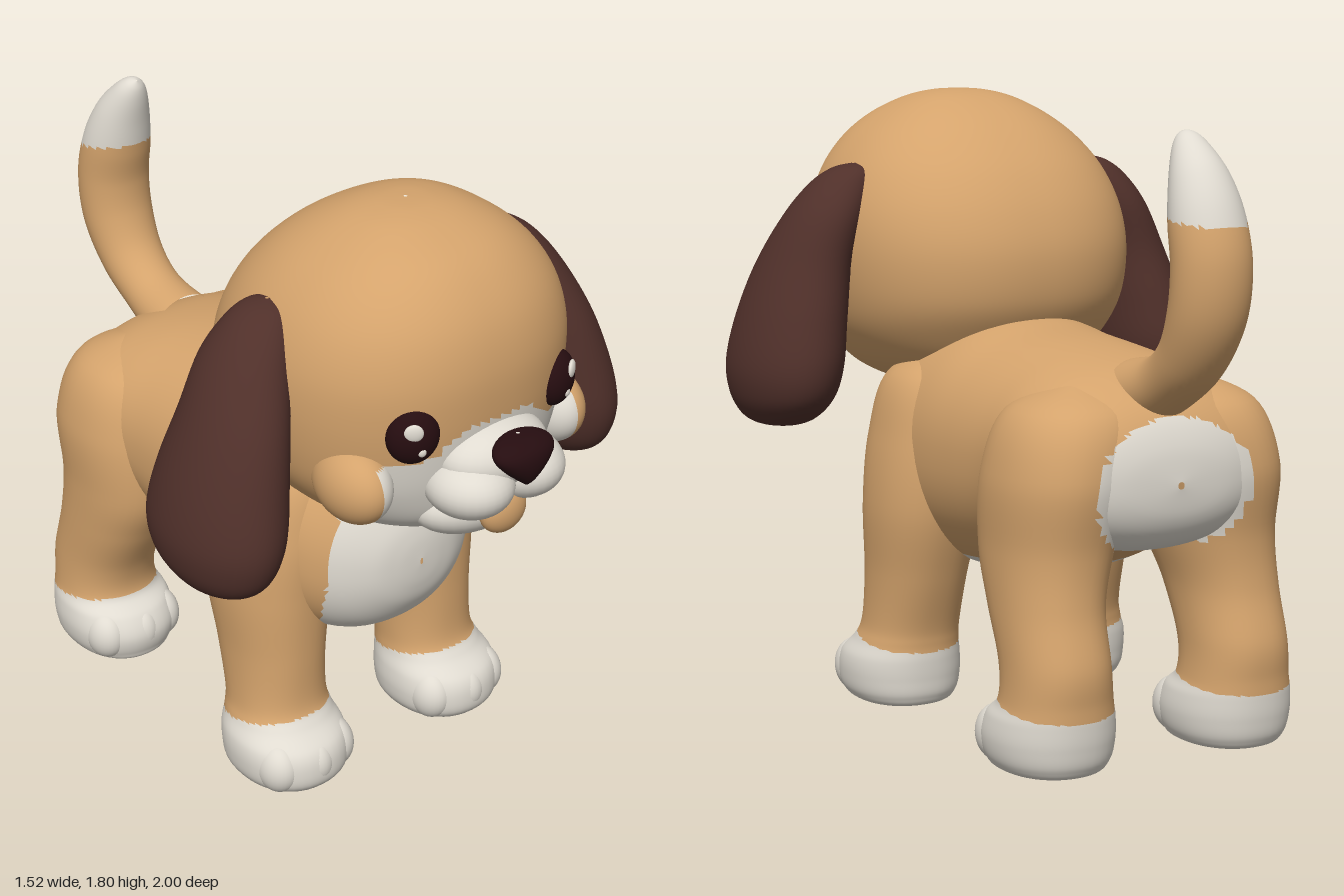
import * as THREE from 'three';

const mat = (name, color) => Object.assign(new THREE.MeshStandardMaterial({ color }), { name });
const tan = mat('tan fur', 0xd4a36c);
const white = mat('white fur', 0xe0dbd1);
const brown = mat('ear brown', 0x50302a);
const dark = mat('eye and nose', 0x260d10);

// Smooth interpolation through rows of numbers
function sampleRows(rows, t) {
  const f = t * (rows.length - 1);
  const i = Math.min(Math.floor(f), rows.length - 2);
  const u = f - i;
  const at = k => rows[Math.max(0, Math.min(rows.length - 1, k))];
  return rows[0].map((_, c) => {
    const [a, b, d, e] = [at(i - 1)[c], at(i)[c], at(i + 1)[c], at(i + 2)[c]];
    return b + 0.5 * u * (d - a + u * (2 * a - 5 * b + 4 * d - e + u * (3 * (b - d) + e - a)));
  });
}

// Skin of cross-sections; place(row, cos, sin) returns one point of a ring
function loft(rows, place, steps = 48, sides = 48, power = 2) {
  const pos = [], index = [];
  const bend = v => Math.sign(v) * Math.abs(v) ** (2 / power);
  for (let i = 0; i <= steps; i++) {
    const row = sampleRows(rows, i / steps);
    for (let j = 0; j < sides; j++) {
      const a = (j / sides) * Math.PI * 2;
      pos.push(...place(row, bend(Math.cos(a)), bend(Math.sin(a))));
      if (i === steps) continue;
      const p = i * sides + j, q = i * sides + (j + 1) % sides;
      index.push(p, q, p + sides, q, q + sides, p + sides);
    }
  }
  const g = new THREE.BufferGeometry();
  g.setAttribute('position', new THREE.Float32BufferAttribute(pos, 3));
  g.setIndex(index);
  g.computeVertexNormals();
  return g;
}

// Upright section: [y, centre x, centre z, radius x, radius z]
const upright = side => ([y, cx, cz, rx, rz], c, s) => [
  side * cx + Math.max(rx, 0.001) * s, Math.max(y, 0), cz + Math.max(rz, 0.001) * c];

// Splits the faces into tan and white groups by a rule on their centres
function paint(g, isWhite) {
  const p = g.attributes.position, src = g.index.array, sets = [[], []];
  for (let i = 0; i < src.length; i += 3) {
    const f = [src[i], src[i + 1], src[i + 2]];
    const mid = get => f.reduce((sum, v) => sum + p[get](v), 0) / 3;
    sets[isWhite(Math.abs(mid('getX')), mid('getY'), mid('getZ')) ? 1 : 0].push(...f);
  }
  g.setIndex([...sets[0], ...sets[1]]);
  g.addGroup(0, sets[0].length, 0);
  g.addGroup(sets[0].length, sets[1].length, 1);
  return g;
}

const rump = (x, y, z) => z < -0.64 && (x / 0.25) ** 2 + ((y - 0.76) / 0.2) ** 2 < 1;
const chest = (x, y, z) => z > 0.38 && (x / 0.26) ** 2 + ((y - 0.68) / 0.36) ** 2 < 1;
const belly = (x, y, z) => z > -0.36 && y < 0.5 && x < 0.22;
const face = (x, y, z) => z > 0.57 && x < 0.345 &&
  y < 1.225 + 0.085 * THREE.MathUtils.smoothstep(0.24 - x, 0, 0.16);

export function createModel() {
  const model = new THREE.Group();
  model.name = 'puppy';
  const add = (name, geometry, material) => {
    const m = new THREE.Mesh(geometry, material);
    m.name = name;
    model.add(m);
    return m;
  };
  const ball = (name, material, [x, y, z], [rx, ry, rz], turn = 0) => {
    const m = add(name, new THREE.SphereGeometry(1, 32, 20), material);
    m.position.set(x, y, z);
    m.scale.set(rx, ry, rz);
    m.rotation.y = turn;
    return m;
  };
  const fur = [tan, white];

  // Body from rump to chest: [z, bottom, top, half width]
  const body = loft([
    [-0.768, 0.77, 0.79, 0.01], [-0.755, 0.69, 0.88, 0.17], [-0.72, 0.63, 0.96, 0.28],
    [-0.66, 0.59, 1.02, 0.35], [-0.56, 0.57, 1.07, 0.38], [-0.44, 0.53, 1.1, 0.38],
    [-0.3, 0.47, 1.12, 0.37], [-0.13, 0.43, 1.135, 0.37], [0.05, 0.41, 1.155, 0.37],
    [0.25, 0.41, 1.13, 0.36], [0.38, 0.43, 1.06, 0.32], [0.47, 0.48, 0.96, 0.25],
    [0.53, 0.56, 0.86, 0.16], [0.553, 0.63, 0.79, 0.08], [0.56, 0.7, 0.72, 0.005],
  ], ([z, lo, hi, w], c, s) => [w * c, (lo + hi) / 2 + (hi - lo) / 2 * s, z], 90, 90, 2.2);
  add('body', paint(body, (x, y, z) => rump(x, y, z) || chest(x, y, z) || belly(x, y, z)), fur);

  // Head from chin to crown: [y, half width, back z, front z]
  const head = loft([
    [0.915, 0.01, 0.45, 0.47], [0.925, 0.16, 0.3, 0.68], [0.955, 0.255, 0.18, 0.74],
    [1.01, 0.34, 0.07, 0.79], [1.1, 0.41, 0, 0.82], [1.2, 0.445, -0.05, 0.84],
    [1.33, 0.46, -0.06, 0.855], [1.45, 0.45, -0.03, 0.855], [1.56, 0.41, 0.03, 0.83],
    [1.65, 0.345, 0.11, 0.78], [1.72, 0.26, 0.2, 0.71], [1.77, 0.165, 0.3, 0.61],
    [1.792, 0.08, 0.38, 0.53], [1.797, 0.005, 0.45, 0.46],
  ], ([y, w, z0, z1], c, s) => [w * s, y, (z0 + z1) / 2 + (z1 - z0) / 2 * c], 110, 110, 2.3);
  add('head', paint(head, face), fur);

  // Muzzle, chin, tongue and nose
  ball('muzzleBridge', white, [0, 1.2, 0.82], [0.17, 0.1, 0.125]);
  ball('chin', white, [0, 1.03, 0.74], [0.19, 0.1, 0.13]);
  ball('tongue', tan, [0, 1.04, 0.875], [0.075, 0.07, 0.045]);
  add('nose', loft([
    [1.155, 0, 0.955, 0.005, 0.01], [1.175, 0, 0.953, 0.03, 0.03], [1.21, 0, 0.95, 0.07, 0.046],
    [1.245, 0, 0.945, 0.097, 0.052], [1.27, 0, 0.935, 0.09, 0.05], [1.287, 0, 0.925, 0.055, 0.032],
    [1.291, 0, 0.92, 0.005, 0.005],
  ], upright(1), 24, 32), dark);

  // Tail with white tip: [y, z, path angle, radius]
  const tail = loft([
    [1.0, -0.56, 0.2, 0.1], [1.05, -0.7, 0.5, 0.085], [1.13, -0.81, 0.85, 0.09],
    [1.25, -0.88, 1.25, 0.1], [1.38, -0.898, 1.6, 0.102], [1.5, -0.873, 1.8, 0.097],
    [1.6, -0.836, 2.0, 0.078], [1.675, -0.793, 2.15, 0.05], [1.71, -0.77, 2.2, 0.027],
    [1.724, -0.758, 2.2, 0.002],
  ], ([y, z, a, r], c, s) => [r * 1.08 * c, y - r * s * Math.cos(a), z - r * s * Math.sin(a)], 80, 40);
  add('tail', paint(tail, (x, y, z) => y > 1.5 + 0.15 * (z + 0.87)), fur);

  for (const side of [1, -1]) {
    const label = side > 0 ? 'left' : 'right';

    // Front leg and paw
    const front = loft([
      [0, 0.29, 0.3, 0.005, 0.005], [0, 0.29, 0.3, 0.12, 0.14], [0.03, 0.29, 0.308, 0.16, 0.182],
      [0.085, 0.29, 0.308, 0.172, 0.19], [0.14, 0.29, 0.298, 0.168, 0.183],
      [0.19, 0.285, 0.27, 0.15, 0.155], [0.25, 0.28, 0.25, 0.14, 0.145],
      [0.4, 0.275, 0.225, 0.142, 0.168], [0.6, 0.265, 0.2, 0.162, 0.2],
      [0.8, 0.235, 0.2, 0.17, 0.21], [0.98, 0.2, 0.2, 0.15, 0.17], [1.06, 0.19, 0.2, 0.01, 0.01],
    ], upright(side), 90, 44, 2.2);
    add(label + 'FrontLeg', paint(front, (x, y, z) => y < 0.17 + 0.17 * (z - 0.13)), fur);

    // Hind leg, haunch and paw
    const hind = loft([
      [0, 0.29, -0.55, 0.005, 0.005], [0, 0.29, -0.55, 0.12, 0.15], [0.03, 0.29, -0.555, 0.158, 0.185],
      [0.09, 0.29, -0.557, 0.172, 0.197], [0.15, 0.29, -0.573, 0.166, 0.185],
      [0.2, 0.29, -0.6, 0.15, 0.158], [0.3, 0.29, -0.595, 0.142, 0.165],
      [0.45, 0.285, -0.54, 0.145, 0.185], [0.6, 0.265, -0.505, 0.165, 0.215],
      [0.8, 0.245, -0.52, 0.185, 0.23], [0.97, 0.2, -0.52, 0.165, 0.18], [1.05, 0.18, -0.52, 0.01, 0.01],
    ], upright(side), 90, 44, 2.2);
    add(label + 'HindLeg', paint(hind, (x, y, z) => rump(x, y, z) || y < 0.165 + 0.12 * (z + 0.75)), fur);

    // Toes
    for (const k of [-1, 0, 1]) for (const z of [0.43, -0.43]) {
      ball(label + 'Toe', white, [side * 0.29 + k * 0.1, 0.085, z - Math.abs(k) * 0.03], [0.06, 0.08, 0.072]);
    }

    // Floppy ear
    add(label + 'Ear', loft([
      [0.83, 0.62, 0.43, 0.005, 0.005], [0.84, 0.62, 0.43, 0.065, 0.1], [0.87, 0.617, 0.425, 0.105, 0.17],
      [0.93, 0.612, 0.415, 0.138, 0.22], [1.02, 0.603, 0.413, 0.154, 0.237],
      [1.15, 0.58, 0.413, 0.148, 0.215], [1.3, 0.54, 0.41, 0.13, 0.177],
      [1.44, 0.485, 0.385, 0.112, 0.14], [1.53, 0.435, 0.375, 0.09, 0.1],
      [1.575, 0.405, 0.37, 0.055, 0.06], [1.59, 0.395, 0.37, 0.005, 0.005],
    ], upright(side), 60, 44), brown);

    // Cheek, muzzle lobe and eye with highlights
    const cheek = new THREE.SphereGeometry(1, 48, 32).scale(0.09, 0.11, 0.13).translate(side * 0.345, 1.15, 0.665);
    add(label + 'Cheek', paint(cheek, face), fur);
    ball(label + 'MuzzleLobe', white, [side * 0.09, 1.135, 0.835], [0.12, 0.09, 0.13]);
    ball(label + 'Eye', dark, [side * 0.25, 1.315, 0.79], [0.073, 0.08, 0.052], side * 0.4);
    ball(label + 'EyeHighlight', white, [side * 0.277, 1.345, 0.826], [0.026, 0.026, 0.01], side * 0.6);
    ball(label + 'EyeGlint', white, [side * 0.256, 1.286, 0.836], [0.012, 0.013, 0.007], side * 0.4);
  }
  return model;
}
